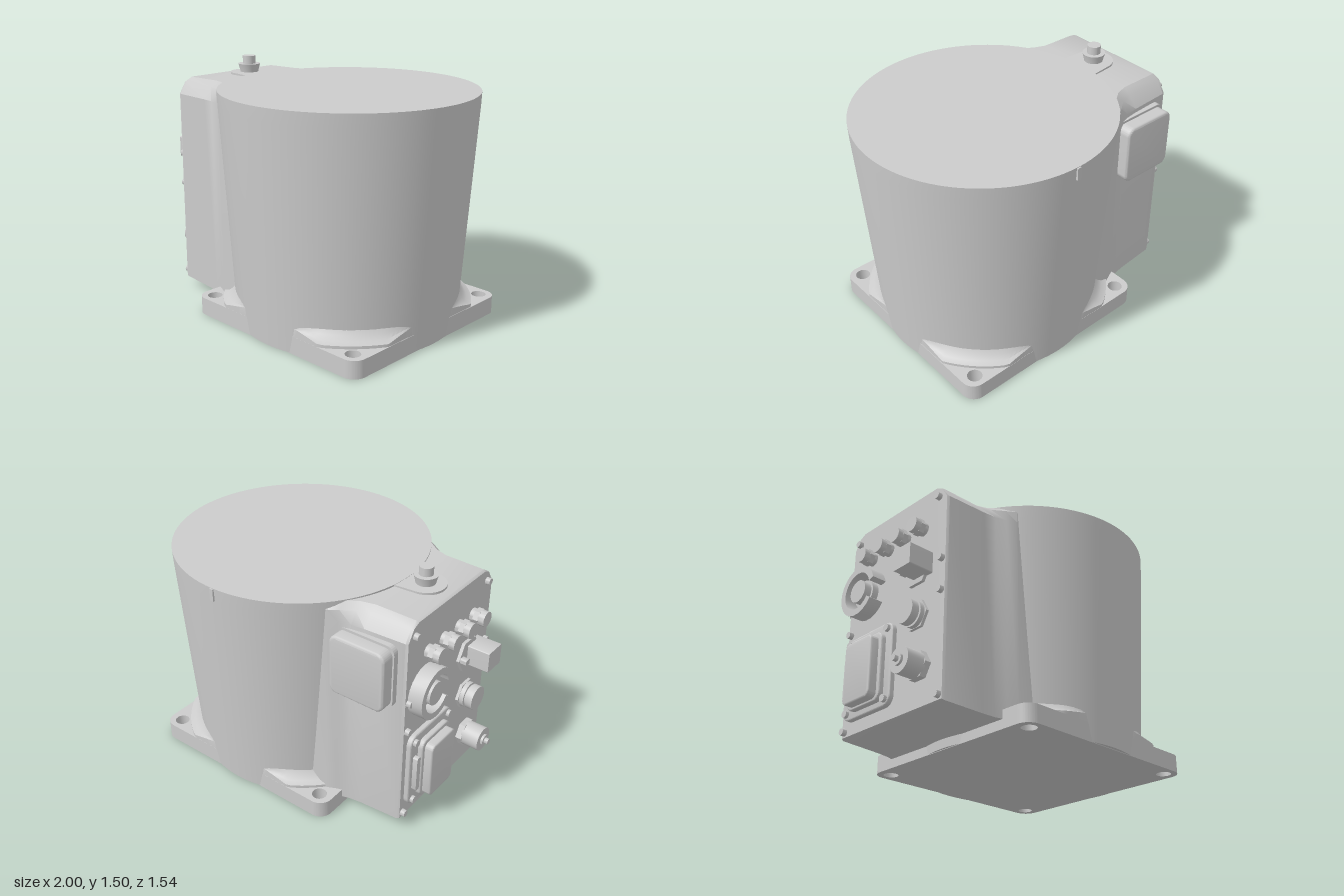
import * as THREE from 'three';
import { toCreasedNormals } from 'three/addons/utils/BufferGeometryUtils.js';

const PANEL_X = -0.815;
const CX = 0.235; // drum and base axis

export function createModel() {
  const root = new THREE.Group();
  const material = new THREE.MeshStandardMaterial({ color: 0xcccccc, side: THREE.DoubleSide });

  function add(name, geometry, x = 0, y = 0, z = 0, parent = root) {
    const mesh = new THREE.Mesh(toCreasedNormals(geometry, 0.55), material);
    mesh.name = name;
    mesh.position.set(x, y, z);
    parent.add(mesh);
    return mesh;
  }

  // Joins closed rings of points, with optional flat ends
  function loft(rings, capped) {
    const n = rings[0].length, index = [];
    for (let i = 0; i < rings.length - 1; i++)
      for (let j = 0; j < n; j++) {
        const a = i * n + j, b = i * n + (j + 1) % n;
        index.push(a, b, b + n, a, b + n, a + n);
      }
    const last = (rings.length - 1) * n;
    if (capped)
      for (let j = 1; j < n - 1; j++) index.push(0, j + 1, j, last, last + j, last + j + 1);
    const g = new THREE.BufferGeometry();
    g.setAttribute('position', new THREE.Float32BufferAttribute(rings.flat(2), 3));
    g.setIndex(index);
    g.computeVertexNormals();
    return g;
  }

  function roundedRect(w, h, r) {
    const s = new THREE.Shape(), x = w / 2 - r, y = h / 2 - r;
    s.absarc(x, y, r, 0, Math.PI / 2);
    s.absarc(-x, y, r, Math.PI / 2, Math.PI);
    s.absarc(-x, -y, r, Math.PI, Math.PI * 1.5);
    s.absarc(x, -y, r, Math.PI * 1.5, Math.PI * 2);
    s.closePath();
    return s;
  }

  function extrude(shape, depth, bevel = 0) {
    return new THREE.ExtrudeGeometry(shape, {
      depth: depth - bevel, curveSegments: 10, bevelEnabled: bevel > 0,
      bevelThickness: bevel, bevelSize: bevel, bevelOffset: -bevel, bevelSegments: 3,
    });
  }

  // Tapered drum
  const profile = [[0, 0.003], [0.676, 0.003], [0.762, 1.33], [0.765, 1.405], [0, 1.405]];
  add('drum', new THREE.LatheGeometry(profile.map(p => new THREE.Vector2(...p)), 96), CX);
  add('drumIndexKey', new THREE.BoxGeometry(0.025, 0.075, 0.02), CX, 1.365, -0.764);

  // Square base plate with four bolt holes
  const plate = roundedRect(1.325, 1.31, 0.08);
  for (const sx of [-1, 1])
    for (const sz of [-1, 1]) {
      const hole = new THREE.Path();
      hole.absarc(sx * 0.577, sz * 0.577, 0.045, 0, Math.PI * 2);
      plate.holes.push(hole);
    }
  add('basePlate', extrude(plate, 0.108).rotateX(-Math.PI / 2), CX);

  // Curved skirt from the plate up to the drum, leaving flat corner pads
  const skirt = [[0, 0], [0, 1], [0.4, 1], [0.7, 1], [0.9, 1], [1, 1]].map(([t, up]) => {
    const ring = [];
    for (let j = 0; j < 144; j++) {
      const a = j / 144 * Math.PI * 2, s = Math.sin(a), c = Math.cos(a);
      const outer = Math.min(0.76, 0.66 / Math.abs(s), 0.654 / Math.abs(c));
      const rim = 0.125 + 0.45 * (0.76 - outer);
      const r = outer + (0.68 - outer) * t;
      ring.push([s * r, up ? rim + (0.2 - rim) * t * t : 0.1, c * r]);
    }
    return ring;
  });
  add('baseSkirt', loft(skirt), CX);

  // Side housing: x, half width, half width of top, top height, bottom height
  const sections = [
    [-0.815, 0.425, 0.335, 1.38, 0.075], [-0.8, 0.432, 0.34, 1.388, 0.068],
    [-0.55, 0.445, 0.345, 1.393, 0.06], [-0.47, 0.455, 0.37, 1.396, 0.057],
    [-0.4, 0.476, 0.42, 1.399, 0.055], [-0.34, 0.505, 0.46, 1.4, 0.055],
    [-0.1, 0.5, 0.46, 1.4, 0.055],
  ].map(([x, w, c, top, low]) => [
    [x, top, c], [x, 1.36, c + 0.045], [x, 1.29, w], [x, low, w],
    [x, low, -w], [x, 1.29, -w], [x, 1.36, -c - 0.045], [x, top, -c],
  ]);
  add('sideHousing', loft(sections, true));

  // Raised pad and vent plug on the housing top
  const pad = new THREE.Shape();
  pad.moveTo(0.2, 0.14);
  pad.lineTo(0.1, 0.13);
  pad.absarc(0, 0, 0.12, Math.PI / 2, Math.PI * 1.5);
  pad.lineTo(0.1, -0.13);
  pad.lineTo(0.2, -0.14);
  add('plugPad', extrude(pad, 0.053).rotateX(-Math.PI / 2), -0.635, 1.35, 0);
  const plug = [[0, 1.39], [0.055, 1.39], [0.058, 1.41], [0.07, 1.455], [0.041, 1.455], [0.041, 1.505], [0, 1.505]];
  add('ventPlug', new THREE.LatheGeometry(plug.map(p => new THREE.Vector2(...p)), 32), -0.635);

  // Rounded cover on the back of the housing
  add('backCoverFlange', extrude(roundedRect(0.38, 0.4, 0.05), 0.04).rotateY(Math.PI), -0.57, 1.065, -0.43);
  add('backCover', extrude(roundedRect(0.36, 0.37, 0.05), 0.13, 0.015).rotateY(Math.PI), -0.57, 1.065, -0.42);

  // Fittings on the connector panel
  const panel = new THREE.Group();
  panel.name = 'connectorPanel';
  root.add(panel);
  const disc = (name, r, from, to, y, z, sides = 28, tip = r) =>
    add(name, new THREE.CylinderGeometry(tip, r, to - from, sides).rotateZ(Math.PI / 2),
      PANEL_X - (from + to) / 2, y, z, panel);
  const slab = (name, w, h, r, from, to, y, z, bevel = 0) =>
    add(name, extrude(roundedRect(w, h, r), to - from, bevel).rotateY(-Math.PI / 2),
      PANEL_X - from, y, z, panel);

  // Row of four small hex connectors
  for (const z of [-0.23, -0.075, 0.08, 0.235]) {
    disc('smallConnectorBase', 0.04, -0.01, 0.03, 1.15, z);
    disc('smallConnectorNut', 0.05, 0.025, 0.06, 1.15, z, 6);
    disc('smallConnectorCap', 0.046, 0.055, 0.095, 1.15, z);
  }

  // Guard ring with an opening, around a round knob
  const guard = new THREE.Shape();
  guard.absarc(0, 0, 0.155, 0.25, Math.PI * 2 - 0.6, false);
  guard.absarc(0, 0, 0.115, Math.PI * 2 - 0.6, 0.25, true);
  add('knobGuard', extrude(guard, 0.09).rotateY(-Math.PI / 2), PANEL_X, 0.915, -0.25, panel);
  disc('knobBase', 0.085, -0.01, 0.04, 0.915, -0.25);
  disc('knob', 0.07, 0.03, 0.085, 0.915, -0.25);

  // Square connector
  disc('squareConnectorFlange', 0.11, -0.01, 0.02, 0.905, 0.2, 6);
  slab('squareConnectorBody', 0.14, 0.13, 0.006, 0, 0.16, 0.905, 0.25);
  slab('squareConnectorLatch', 0.04, 0.035, 0.008, 0, 0.06, 0.905, 0.12);

  // Round connector
  disc('roundConnectorFlange', 0.092, -0.01, 0.018, 0.615, 0.21, 6);
  disc('roundConnectorBody', 0.078, 0.015, 0.045, 0.615, 0.21);
  disc('roundConnectorNeck', 0.064, 0.04, 0.06, 0.615, 0.21);
  disc('roundConnectorCap', 0.075, 0.055, 0.1, 0.615, 0.21);

  // Power gland with a small tip
  disc('glandNut', 0.085, -0.01, 0.04, 0.3, 0.25, 6);
  disc('glandBody', 0.076, 0.03, 0.145, 0.3, 0.25);
  disc('glandCollar', 0.035, 0.14, 0.16, 0.3, 0.25);
  disc('glandTip', 0.018, 0.155, 0.185, 0.3, 0.25);

  // Access cover with raised block and side bar
  slab('accessPlate', 0.42, 0.5, 0.06, -0.005, 0.03, 0.4, -0.18, 0.008);
  slab('accessStep', 0.29, 0.41, 0.05, 0.02, 0.06, 0.39, -0.17, 0.008);
  slab('accessBlock', 0.24, 0.37, 0.035, 0.05, 0.112, 0.385, -0.17, 0.01);
  slab('accessBar', 0.035, 0.24, 0.015, 0.02, 0.06, 0.39, -0.345);
  for (const z of [-0.35, -0.01])
    for (const y of [0.19, 0.61]) disc('accessScrew', 0.022, 0.02, 0.05, y, z, 16);

  // Screws round the panel edge
  for (const [y, w] of [[1.31, 0.365], [0.9, 0.4], [0.705, 0.4], [0.105, 0.4]])
    for (const s of [-1, 1]) disc('panelScrew', 0.023, -0.01, 0.027, y, s * w, 16, 0.02);

  return root;
}
